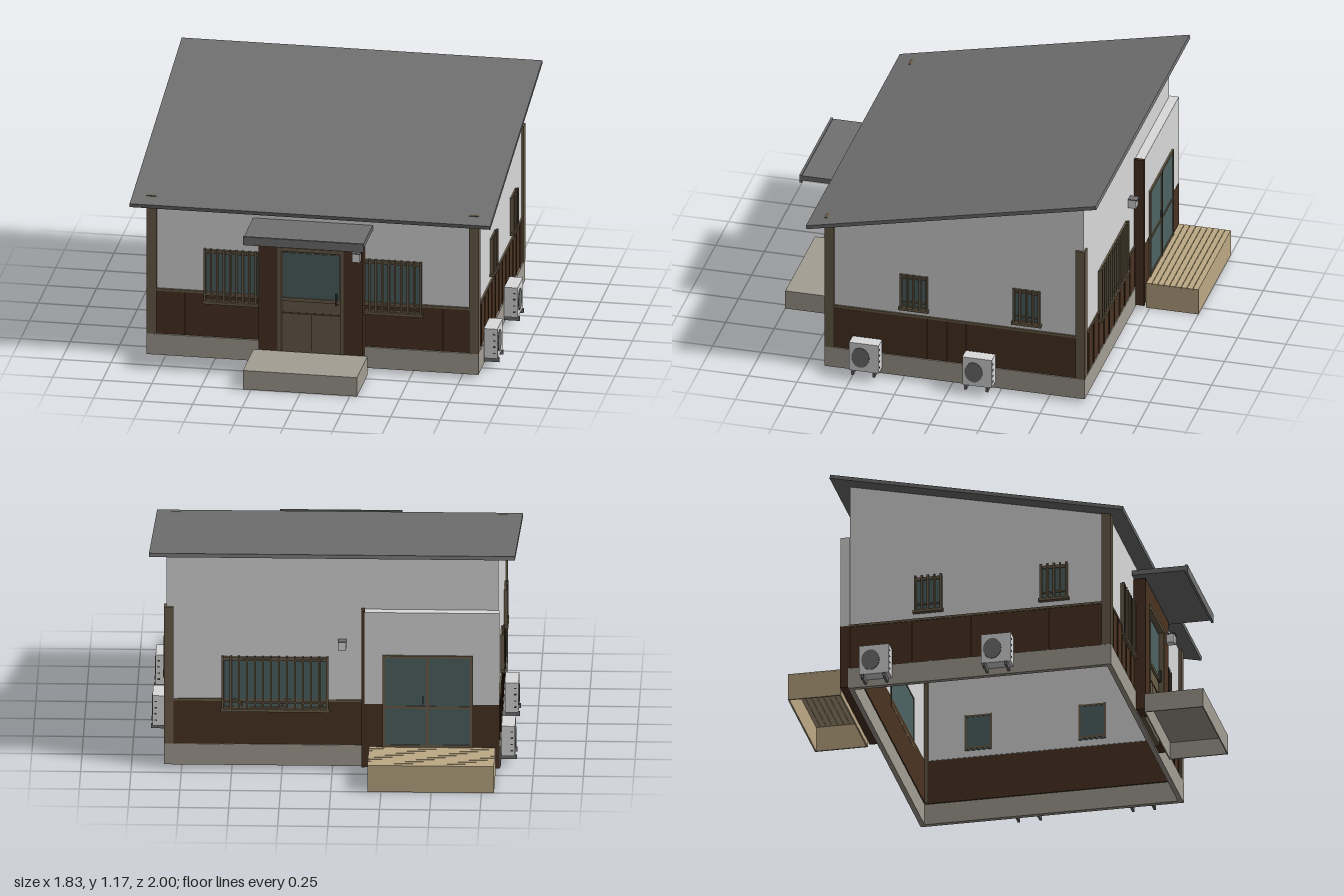
import * as THREE from 'three';

const mat = (name, color) => Object.assign(new THREE.MeshStandardMaterial({ color }), { name });

export function createModel() {
  const house = new THREE.Group();
  house.name = 'house';
  const wall = mat('wall white', 0xdadada);
  const roofGrey = mat('roof grey', 0x717171);
  const concrete = mat('concrete', 0xa49e94);
  const cladding = mat('dark brown cladding', 0x4a3322);
  const timber = mat('timber trim', 0x6b5e4a);
  const glass = mat('window glass', 0x4f6363);
  const decking = mat('decking tan', 0xbda985);
  const metal = mat('dark metal', 0x3c3c3c);

  // Box given by its minimum and maximum on each axis
  function box(parent, name, m, x0, x1, y0, y1, z0, z1) {
    const mesh = new THREE.Mesh(new THREE.BoxGeometry(x1 - x0, y1 - y0, z1 - z0), m);
    mesh.position.set((x0 + x1) / 2, (y0 + y1) / 2, (z0 + z1) / 2);
    mesh.name = name;
    parent.add(mesh);
    return mesh;
  }
  function group(name, x = 0, y = 0, z = 0, turn = 0) {
    const g = new THREE.Group();
    g.name = name;
    g.position.set(x, y, z);
    g.rotation.y = turn;
    house.add(g);
    return g;
  }
  // Extrudes a (z, y) outline along x
  function sideProfile(name, m, points, x0, x1) {
    const shape = new THREE.Shape(points.map(([z, y]) => new THREE.Vector2(z, y)));
    const geo = new THREE.ExtrudeGeometry(shape, { depth: x1 - x0, bevelEnabled: false });
    geo.rotateY(-Math.PI / 2).translate(x1, 0, 0);
    const mesh = new THREE.Mesh(geo, m);
    mesh.name = name;
    house.add(mesh);
  }
  // Four thin sides of a hollow rectangle
  function ring(parent, name, m, x0, x1, y0, y1, z0, z1, t) {
    box(parent, name, m, x0, x1, y0, y1, z1 - t, z1);
    box(parent, name, m, x0, x1, y0, y1, z0, z0 + t);
    box(parent, name, m, x0, x0 + t, y0, y1, z0 + t, z1 - t);
    box(parent, name, m, x1 - t, x1, y0, y1, z0 + t, z1 - t);
  }

  // Foundation, cladding skirt and walls
  ring(house, 'foundation', concrete, -0.837, 0.837, 0.02, 0.13, -0.687, 0.652, 0.025);
  ring(house, 'wainscot', cladding, -0.83, 0.83, 0.13, 0.36, -0.682, 0.642, 0.025);
  ring(house, 'wainscotRail', timber, -0.834, 0.834, 0.358, 0.37, -0.686, 0.646, 0.025);
  box(house, 'frontWall', wall, -0.825, 0.825, 0.365, 0.845, 0.615, 0.635);
  box(house, 'backWall', wall, -0.825, 0.825, 0.365, 1.125, -0.68, -0.66);
  const gable = [[0.633, 0.365], [0.633, 0.846], [-0.679, 1.128], [-0.679, 0.365]];
  sideProfile('rightWall', wall, gable, -0.826, -0.806);
  sideProfile('leftWall', wall, gable, 0.806, 0.826);

  // Vertical battens over the cladding
  for (let i = 0; i < 16; i++) {
    const x = -0.75 + i * 0.1;
    box(house, 'batten', cladding, x - 0.006, x + 0.006, 0.13, 0.358, 0.641, 0.646);
    box(house, 'batten', cladding, x - 0.006, x + 0.006, 0.13, 0.358, -0.686, -0.681);
  }
  for (let i = 0; i < 12; i++) {
    const z = -0.57 + i * 0.1;
    for (const s of [-1, 1]) {
      const b = box(house, 'batten', cladding, -0.003, 0.003, 0.13, 0.358, z - 0.006, z + 0.006);
      b.position.x = s * 0.831;
    }
  }

  // Corner posts
  for (const s of [-1, 1]) {
    const post = box(house, 'frontPost', timber, -0.0245, 0.0245, 0.13, 0.864, 0.602, 0.651);
    post.position.x = s * 0.8135;
  }
  box(house, 'backPost', timber, 0.789, 0.838, 0.13, 0.855, -0.688, -0.64);

  // Sloping roof slab
  sideProfile('roof', roofGrey,
    [[0.725, 0.825], [0.728, 0.844], [-0.762, 1.166], [-0.766, 1.147]], -0.91, 0.91);

  // Window with vertical lattice, facing local +z
  function latticeWindow(name, x, z, turn, width, y0, y1, bars) {
    const g = group(name, x, 0, z, turn);
    const h = width / 2;
    box(g, 'glass', glass, -h, h, y0, y1 - 0.01, -0.024, 0.003);
    for (const s of [-1, 1]) {
      const jamb = box(g, 'frame', timber, -0.005, 0.005, y0, y1 - 0.005, -0.026, 0.008);
      jamb.position.x = s * h;
    }
    box(g, 'frameTop', timber, -h, h, y1 - 0.017, y1 - 0.007, -0.026, 0.008);
    box(g, 'frameBottom', timber, -h, h, y0 + 0.008, y0 + 0.02, -0.026, 0.008);
    box(g, 'sill', timber, -h - 0.012, h + 0.012, y0 - 0.003, y0 + 0.011, 0, 0.022);
    for (let i = 0; i < bars; i++) {
      const bx = -h + (width * i) / (bars - 1);
      box(g, 'latticeBar', timber, bx - 0.005, bx + 0.005, y0, y1, 0.008, 0.019);
    }
    for (const y of [y0 + 0.04, y1 - 0.025]) box(g, 'latticeRail', timber, -h, h, y, y + 0.008, 0.006, 0.012);
  }
  latticeWindow('frontWindow', -0.4, 0.637, 0, 0.29, 0.31, 0.6, 10);
  latticeWindow('frontWindow', 0.4, 0.637, 0, 0.29, 0.31, 0.6, 10);
  latticeWindow('backWindow', 0.285, -0.682, Math.PI, 0.52, 0.31, 0.6, 14);
  for (const z of [0.193, -0.387]) latticeWindow('leftWindow', 0.827, z, Math.PI / 2, 0.13, 0.4, 0.6, 5);
  for (const z of [-0.28, 0.36]) latticeWindow('rightWindow', -0.827, z, -Math.PI / 2, 0.13, 0.4, 0.6, 5);

  // Entrance surround with recessed door
  const entry = group('entrance');
  box(entry, 'surroundSide', cladding, -0.265, -0.168, 0.03, 0.745, 0.64, 0.7);
  box(entry, 'surroundSide', cladding, 0.165, 0.262, 0.03, 0.745, 0.64, 0.7);
  box(entry, 'surroundTop', cladding, -0.168, 0.165, 0.65, 0.745, 0.64, 0.7);
  box(entry, 'doorPanel', timber, -0.168, 0.165, 0.03, 0.65, 0.645, 0.675);
  for (const x of [-0.168, 0.147]) box(entry, 'doorFrame', timber, x, x + 0.018, 0.1, 0.65, 0.67, 0.702);
  box(entry, 'doorFrame', timber, -0.15, 0.147, 0.632, 0.65, 0.67, 0.702);
  box(entry, 'doorGlass', glass, -0.145, 0.142, 0.38, 0.618, 0.672, 0.68);
  box(entry, 'doorRail', timber, -0.15, 0.147, 0.362, 0.38, 0.67, 0.686);
  box(entry, 'doorGroove', cladding, -0.15, 0.147, 0.292, 0.3, 0.672, 0.677);
  box(entry, 'doorGroove', cladding, -0.004, 0.002, 0.1, 0.292, 0.672, 0.677);
  box(entry, 'doorHandle', metal, 0.122, 0.13, 0.355, 0.415, 0.68, 0.695);

  // Awning and hollow front step
  box(entry, 'awning', roofGrey, -0.302, 0.302, 0.75, 0.776, 0.64, 0.915);
  box(entry, 'awningFascia', roofGrey, -0.304, 0.304, 0.737, 0.781, 0.91, 0.922);
  ring(entry, 'frontStep', concrete, -0.29, 0.286, 0, 0.098, 0.7, 1, 0.006);
  box(entry, 'frontStepTop', concrete, -0.29, 0.286, 0.09, 0.1, 0.7, 1);

  // Wall lamps, facing local +z
  function lamp(x, y, z, turn) {
    const g = group('wallLamp', x, y, z, turn);
    box(g, 'lampBody', wall, -0.019, 0.019, -0.024, 0.02, 0, 0.04);
    box(g, 'lampCap', roofGrey, -0.021, 0.021, 0.02, 0.026, 0, 0.046);
  }
  lamp(0.235, 0.635, 0.7, 0);
  lamp(-0.05, 0.665, -0.68, Math.PI);

  // Back bay with sliding glass door
  const bay = group('backBay');
  box(bay, 'bayWall', wall, -0.832, -0.162, 0.365, 0.85, -0.728, -0.68);
  box(bay, 'baySkirt', cladding, -0.832, -0.162, 0.03, 0.365, -0.729, -0.68);
  box(bay, 'bayEdge', cladding, -0.162, -0.145, 0.03, 0.856, -0.732, -0.68);
  box(bay, 'slidingGlass', glass, -0.69, -0.26, 0.15, 0.615, -0.733, -0.726);
  for (const x of [-0.7, -0.482, -0.264]) box(bay, 'slidingFrame', timber, x, x + 0.014, 0.14, 0.625, -0.739, -0.727);
  for (const y of [0.14, 0.345, 0.612]) box(bay, 'slidingFrame', timber, -0.7, -0.25, y, y + 0.013, -0.737, -0.727);
  box(bay, 'slidingHandle', metal, -0.455, -0.449, 0.37, 0.41, -0.744, -0.735);

  // Hollow deck with planks
  ring(house, 'deckSkirt', decking, -0.812, -0.183, 0, 0.132, -1, -0.73, 0.008);
  for (let i = 0; i < 9; i++) {
    const z = -1 + i * 0.03;
    box(house, 'deckPlank', decking, -0.812, -0.183, 0.13, 0.14, z, z + 0.0275);
  }

  // Outdoor air units, facing local +z
  function airUnit(x, z, turn) {
    const g = group('airUnit', x, 0, z, turn);
    box(g, 'casing', wall, -0.076, 0.076, 0.055, 0.212, 0.004, 0.072);
    const fan = new THREE.Mesh(new THREE.CylinderGeometry(0.055, 0.055, 0.006, 20), roofGrey);
    fan.rotation.x = Math.PI / 2;
    fan.scale.x = 0.84;
    fan.position.set(-0.018, 0.132, 0.073);
    fan.name = 'fanGrille';
    g.add(fan);
    for (let i = 0; i < 4; i++) {
      const y = 0.08 + i * 0.033;
      box(g, 'sideVent', metal, -0.078, 0.078, y, y + 0.006, 0.05, 0.062);
    }
    for (const fx of [-0.058, 0.052]) box(g, 'foot', roofGrey, fx - 0.006, fx + 0.006, 0.033, 0.055, 0, 0.08);
  }
  for (const z of [0.43, -0.152]) airUnit(0.835, z, Math.PI / 2);
  for (const z of [-0.54, 0.08]) airUnit(-0.835, z, -Math.PI / 2);

  return house;
}
